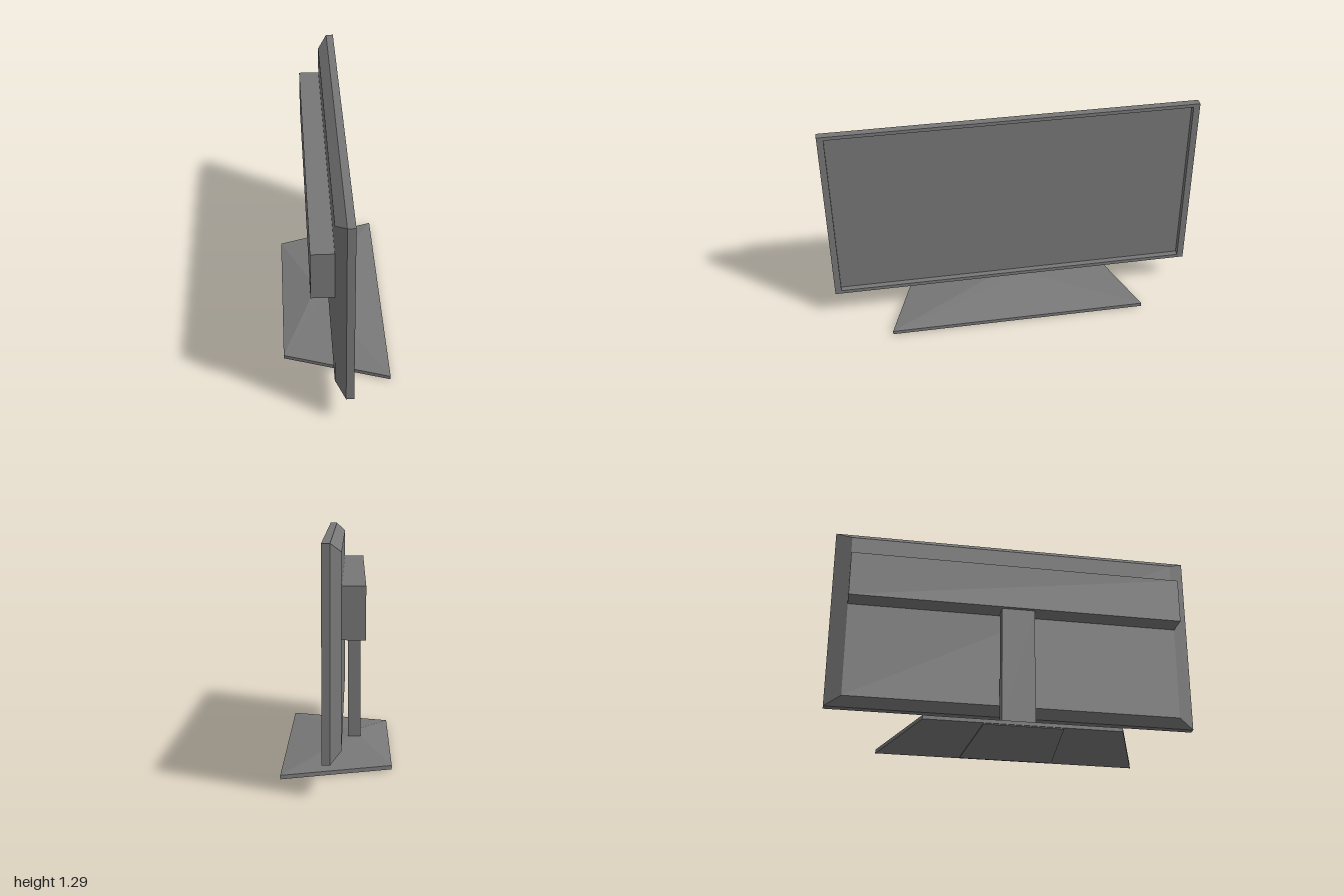
import * as THREE from 'three';

const MID = -0.007; // middle of the screen along its width

// Solid through four-cornered rings, with flat faces and closed ends
function loft(rings) {
  const pos = [];
  const quad = (a, b, c, d) => pos.push(...a, ...b, ...c, ...a, ...c, ...d);
  for (let r = 0; r < rings.length - 1; r++) {
    const p = rings[r], q = rings[r + 1];
    for (let i = 0; i < 4; i++) {
      const j = (i + 1) % 4;
      quad(p[i], p[j], q[j], q[i]);
    }
  }
  const first = rings[0], last = rings[rings.length - 1];
  quad(first[3], first[2], first[1], first[0]);
  quad(...last);
  const g = new THREE.BufferGeometry();
  g.setAttribute('position', new THREE.Float32BufferAttribute(pos, 3));
  g.computeVertexNormals();
  return g;
}

// Upright rectangle at depth z
const upright = (hw, y0, y1, z) =>
  [[MID - hw, y0, z], [MID + hw, y0, z], [MID + hw, y1, z], [MID - hw, y1, z]];

// Level trapezoid at height y
const level = (front, back, zf, zb, y, cx = MID) =>
  [[cx - front, y, zf], [cx + front, y, zf], [cx + back, y, zb], [cx - back, y, zb]];

export function createModel() {
  const model = new THREE.Group();
  const monitor = new THREE.Group();
  monitor.name = 'monitor';
  monitor.rotation.y = 2.009;
  model.add(monitor);

  const grey = new THREE.MeshStandardMaterial({ color: 0x777777 });
  grey.name = 'grey plastic';

  const add = (name, geometry, x = 0, y = 0, z = 0) => {
    const mesh = new THREE.Mesh(geometry, grey);
    mesh.name = name;
    mesh.position.set(x, y, z);
    monitor.add(mesh);
  };

  // Bevelled rear shell
  add('rearShell', loft([upright(0.994, 0.221, 1.246, -0.056), upright(1.091, 0.172, 1.295, 0)]));

  // Bezel around the recessed screen
  const rect = (C, hw, y0, y1) => new C([
    new THREE.Vector2(MID - hw, y0), new THREE.Vector2(MID + hw, y0),
    new THREE.Vector2(MID + hw, y1), new THREE.Vector2(MID - hw, y1)]);
  const frame = rect(THREE.Shape, 1.091, 0.172, 1.295);
  frame.holes.push(rect(THREE.Path, 1.053, 0.194, 1.274));
  add('bezel', new THREE.ExtrudeGeometry(frame, { depth: 0.044, bevelEnabled: false }));
  add('screen', new THREE.BoxGeometry(2.106, 1.08, 0.009), MID, 0.734, 0.0055);

  // Long housing across the back
  add('rearHousing', new THREE.BoxGeometry(1.99, 0.277, 0.125), MID, 0.9375, -0.1175);

  // Stand
  add('standColumn', new THREE.BoxGeometry(0.196, 0.74, 0.074), -0.01, 0.44, -0.121);
  add('standBase', loft([
    level(0.77, 0.558, 0.276, -0.331, 0.005),
    level(0.77, 0.558, 0.276, -0.331, 0.027),
    level(0.098, 0.098, -0.084, -0.158, 0.081, -0.01)]));
  add('basePad', loft([
    level(0.277, 0.224, 0.257, -0.325, 0),
    level(0.277, 0.224, 0.257, -0.325, 0.005)]));

  return model;
}
